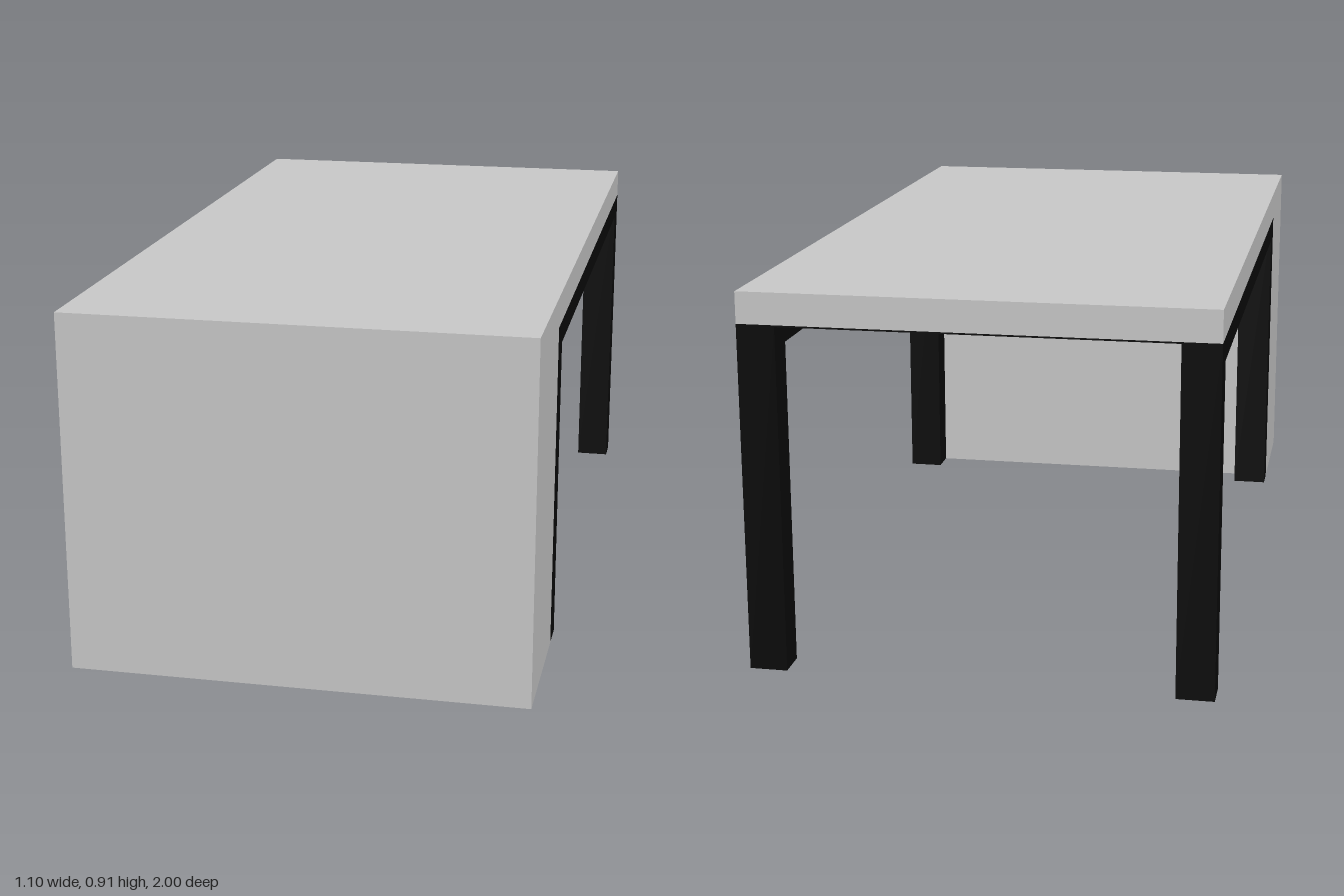
import * as THREE from 'three';

export function createModel() {
  const group = new THREE.Group();
  const grey = new THREE.MeshStandardMaterial({ color: 0xc8c8c8, side: THREE.DoubleSide });
  grey.name = 'light grey';
  const black = new THREE.MeshStandardMaterial({ color: 0x0a0a0a });
  black.name = 'black';

  const HX = 0.55, TOP = 0.91, UNDER = 0.835, BEAM = 0.78, BASE = 0.035;
  const LEG_X = 0.09, LEG_Z = 0.075, CAB_Z = 0.63;
  const FRAME_Z = CAB_Z - LEG_Z; // rear face of the front legs
  const INNER = HX - LEG_X;

  // box between two corners; materials may be one or six (+x -x +y -y +z -z)
  const block = (name, [x0, y0, z0], [x1, y1, z1], material) => {
    const mesh = new THREE.Mesh(new THREE.BoxGeometry(x1 - x0, y1 - y0, z1 - z0), material);
    mesh.position.set((x0 + x1) / 2, (y0 + y1) / 2, (z0 + z1) / 2);
    mesh.name = name;
    group.add(mesh);
  };
  // single sheet, turned into place
  const sheet = (name, w, h, position, rx = 0, ry = 0) => {
    const mesh = new THREE.Mesh(new THREE.PlaneGeometry(w, h), grey);
    mesh.position.set(...position);
    mesh.rotation.set(rx, ry, 0);
    mesh.name = name;
    group.add(mesh);
  };
  const greyBelow = [black, black, black, grey, black, black];

  // tabletop with a black underside up to the cabinet
  block('tabletop', [-HX, UNDER, -1], [HX, TOP, 1], grey);
  block('tabletopUnderside', [-INNER, UNDER - 0.004, -1], [INNER, UNDER, FRAME_Z], black);

  // hollow front cabinet made of sheets, open below
  const h = UNDER - BASE, midY = (UNDER + BASE) / 2;
  const depth = 1 - CAB_Z, midZ = (1 + CAB_Z) / 2;
  sheet('cabinetFront', HX * 2, h, [0, midY, 1]);
  sheet('cabinetBack', INNER * 2, h, [0, midY, CAB_Z], 0, Math.PI);

  // cross beam between the front legs
  block('frontBeam', [-INNER, BEAM, FRAME_Z], [INNER, UNDER, CAB_Z - 0.002], greyBelow);

  for (const s of [-1, 1]) {
    const x0 = s > 0 ? INNER : -HX, x1 = x0 + LEG_X;
    sheet('cabinetSide', depth, h, [s * HX, midY, midZ], 0, s * Math.PI / 2);
    sheet('cabinetBottomFlange', LEG_X, depth, [(x0 + x1) / 2, BASE, midZ], Math.PI / 2);
    block('frontLeg', [x0, BASE, FRAME_Z], [x1, UNDER, CAB_Z], black);
    block('backLeg', [x0, 0, -1], [x1, UNDER, -1 + LEG_Z], greyBelow);
    block('sideBeam', [x0, BEAM, -1 + LEG_Z], [x1, UNDER, FRAME_Z], black);
  }
  return group;
}
